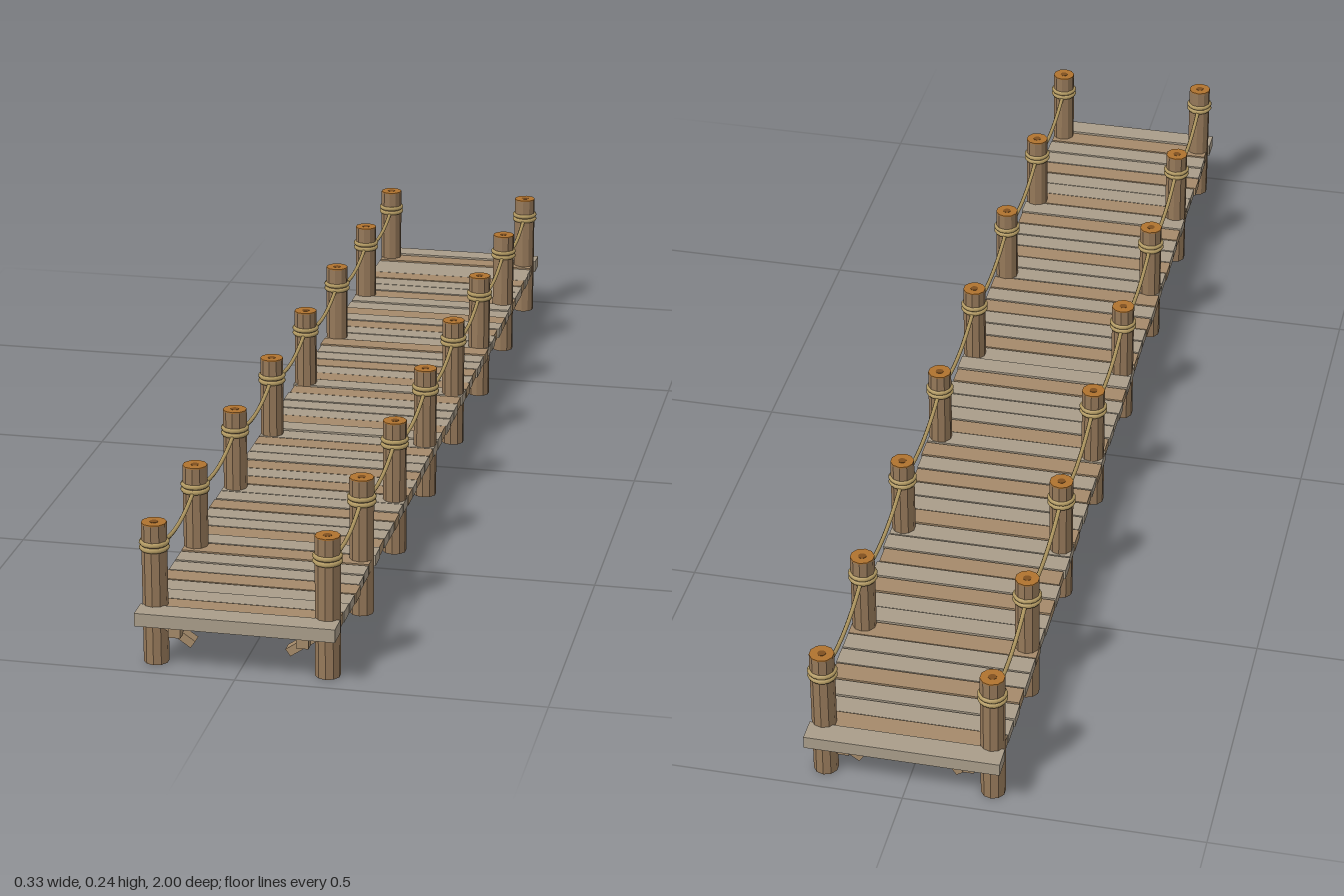
import * as THREE from 'three';

const mat = (name, color) => {
  const m = new THREE.MeshStandardMaterial({ color });
  m.name = name;
  return m;
};

export function createModel() {
  const root = new THREE.Group();
  root.name = 'footbridge';
  const grey = mat('weathered plank', 0xa99d8a);
  const tan = mat('tan plank', 0xa58a6a);
  const wood = mat('post wood', 0x96795a);
  wood.flatShading = true;
  const cut = mat('cut end wood', 0xb0732f);
  const core = mat('dark heartwood', 0x80501f);
  const rope = mat('rope', 0xb39a62);

  let seed = 7;
  const rand = () => (seed = (seed * 16807) % 2147483647) / 2147483647;
  const add = (parent, name, geo, material, x = 0, y = 0, z = 0) => {
    const m = new THREE.Mesh(geo, material);
    m.name = name;
    m.position.set(x, y, z);
    parent.add(m);
    return m;
  };
  const box = (parent, name, w, h, d, material, x, y, z) =>
    add(parent, name, new THREE.BoxGeometry(w, h, d), material, x, y, z);

  // Deck of slightly uneven planks, with a full-width board at each end
  const deck = new THREE.Group();
  deck.name = 'deck';
  root.add(deck);
  const count = 50, pitch = 2 / count;
  const tanPlanks = [1, 4, 7, 10, 12, 15, 18, 20, 22, 26, 29, 32, 34, 37, 40, 42, 45, 48];
  for (let i = 0; i < count; i++) {
    const end = i === 0 || i === count - 1;
    const w = end ? 0.324 : 0.315 + rand() * 0.008;
    const h = end ? 0.022 : 0.016 + rand() * 0.003;
    box(deck, end ? 'endBoard' : 'plank', w, h, end ? pitch : pitch - 0.003,
      tanPlanks.includes(i) ? tan : grey, 0, 0.078 + h / 2, -1 + (i + 0.5) * pitch);
  }

  // Long beams under the deck
  for (const s of [-1, 1]) box(root, 'longBeam', 0.02, 0.026, 1.95, tan, s * 0.104, 0.065, 0);

  const postZ = [-0.95, -0.69, -0.415, -0.138, 0.138, 0.415, 0.69, 0.95];
  const postX = 0.14, postR = 0.0205, postH = 0.238, ropeY = 0.2;

  // Posts with cut tops and rope wraps
  const postGeo = new THREE.CylinderGeometry(postR, postR, postH - 0.002, 10);
  const capGeo = new THREE.CylinderGeometry(postR, postR, 0.002, 10);
  const coreGeo = new THREE.CylinderGeometry(0.007, 0.007, 0.002, 10);
  const wrapGeo = new THREE.TorusGeometry(postR, 0.0042, 6, 16).rotateX(Math.PI / 2);
  postZ.forEach((z, i) => {
    for (const s of [-1, 1]) {
      const post = new THREE.Group();
      post.name = 'post';
      post.position.set(s * postX, 0, z);
      root.add(post);
      add(post, 'postShaft', postGeo, wood, 0, (postH - 0.002) / 2, 0);
      add(post, 'postTop', capGeo, cut, 0, postH - 0.001, 0);
      add(post, 'postHeart', coreGeo, core, 0, postH - 0.0005, 0);
      for (const dy of [-0.0045, 0.0045]) add(post, 'ropeWrap', wrapGeo, rope, 0, ropeY + dy, 0);

      // Short slanted brace on the inner side
      const brace = box(root, 'brace', 0.055, 0.014, 0.02, tan, s * 0.1, 0.052, z);
      brace.rotation.z = s * 0.6;
    }
    // Cross beam between inner pairs of posts
    if (i > 0 && i < postZ.length - 1) box(root, 'crossBeam', 0.24, 0.031, 0.022, tan, 0, 0.0605, z);
  });

  // Sagging handrail ropes
  for (let i = 0; i < postZ.length - 1; i++) {
    const a = postZ[i], b = postZ[i + 1];
    const points = [];
    for (let k = 0; k <= 8; k++) {
      const t = k / 8;
      points.push(new THREE.Vector3(0, ropeY - 0.1 * t * (1 - t), a + (b - a) * t));
    }
    const geo = new THREE.TubeGeometry(new THREE.CatmullRomCurve3(points), 16, 0.0037, 6);
    for (const s of [-1, 1]) add(root, 'handrailRope', geo, rope, s * postX, 0, 0);
  }
  return root;
}
